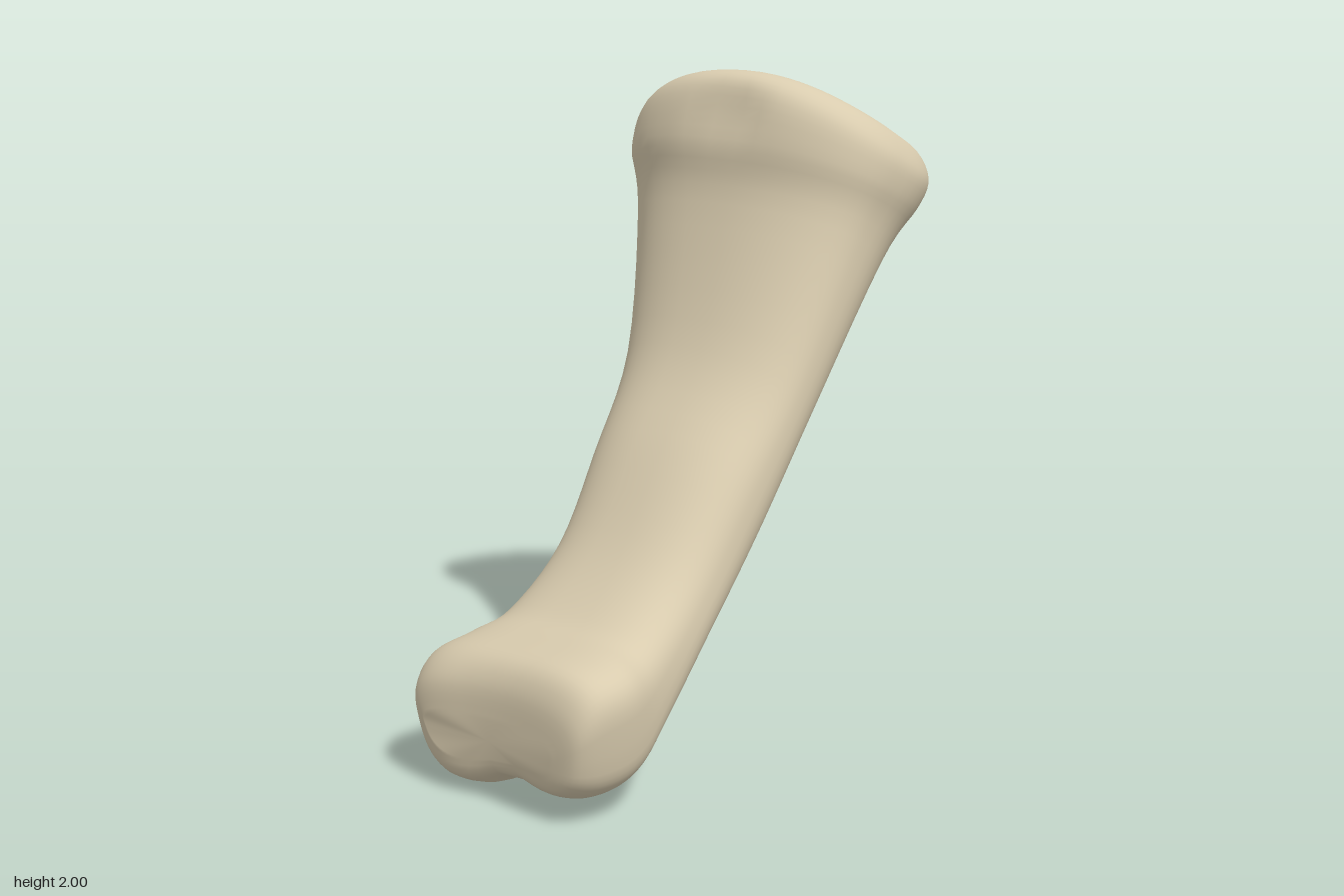
import * as THREE from 'three';

// Cross-sections from the knuckle end to the socket end:
// [front z, front y, back z, back y, min x, max x, front squareness]
const SECTIONS = [
  [0.885, 0.25, 0.875, 0.12, -0.1, 0.38, 2.5],
  [0.875, 0.35, 0.85, 0.055, -0.17, 0.47, 3],
  [0.82, 0.42, 0.74, 0.015, -0.2, 0.51, 3.6],
  [0.7, 0.45, 0.61, 0.04, -0.195, 0.515, 3.6],
  [0.58, 0.49, 0.44, 0.16, -0.18, 0.47, 3],
  [0.4, 0.64, 0.15, 0.405, -0.19, 0.415, 2.6],
  [0.2, 0.895, -0.08, 0.625, -0.255, 0.385, 2.5],
  [-0.02, 1.175, -0.3, 0.895, -0.34, 0.37, 2.4],
  [-0.175, 1.6, -0.68, 1.355, -0.49, 0.385, 2.5],
  [-0.19, 1.8, -0.85, 1.54, -0.54, 0.425, 2.7],
  [-0.23, 1.955, -0.905, 1.66, -0.525, 0.425, 2.7],
  [-0.31, 2, -0.875, 1.745, -0.45, 0.36, 2.5],
  [-0.41, 1.97, -0.8, 1.745, -0.3, 0.23, 2.3],
  [-0.5, 1.86, -0.68, 1.75, -0.16, 0.08, 2],
];
const SIDES = 56;
const STEPS = 5;
const { smoothstep } = THREE.MathUtils;
const bell = (value, width) => Math.exp(-((value / width) ** 2));

// Smooth interpolation between neighbouring cross-sections
function sectionAt(t) {
  const last = SECTIONS.length - 1;
  const i = Math.min(Math.floor(t), last - 1);
  const f = t - i;
  const before = SECTIONS[Math.max(i - 1, 0)];
  const next = SECTIONS[i + 1];
  const after = SECTIONS[Math.min(i + 2, last)];
  return SECTIONS[i].map((b, k) => {
    const m1 = (next[k] - before[k]) / 2;
    const m2 = (after[k] - b) / 2;
    const d = next[k] - b;
    return b + f * m1 + f * f * (3 * d - 2 * m1 - m2) + f * f * f * (m1 + m2 - 2 * d);
  });
}

// One rounded ring; the knuckles are parted by a groove, the socket rim is skewed
function ringPoint(t, angle) {
  const [fz, fy, bz, by, x0, x1, squareness] = sectionAt(t);
  const knuckle = 1 - smoothstep(t, 2.5, 5);
  const socket = smoothstep(t, 5, 9) * (1 - smoothstep(t, 10.5, 13));
  const c = Math.cos(angle);
  const n = Math.sin(angle);
  const front = n >= 0;
  const backSquareness = 2.1 + (c > 0 ? 1.7 : 0.8) * knuckle;
  const power = 2 / (front ? squareness : backSquareness);
  const u = Math.sign(c) * Math.abs(c) ** power;
  const x = (x0 + x1) / 2 + (u * (x1 - x0)) / 2;
  const dent = front ? 0.07 * bell(t - 9.5, 0.6) * bell(x, 0.09) : 0.32 * knuckle * bell(x - 0.2, 0.12);
  const skew = front ? 0.1 * knuckle - 0.2 * socket : 0.22 * knuckle;
  const reach = Math.abs(n) ** power * (1 - dent);
  const v = Math.sign(n) * reach + reach * u * skew;
  // Saddle-shaped socket, knuckles narrowing downward, the right knuckle further forward
  const saddle = 0.42 * smoothstep(t, 8, 10.5) * (x + 0.05) ** 2;
  const forward = (1 - smoothstep(t, 0.5, 3)) * (0.04 * bell(x + 0.08, 0.17) - 0.015);
  return [
    x + 0.03 * knuckle * u * v,
    (fy + by) / 2 + (v * (fy - by)) / 2 - saddle,
    (fz + bz) / 2 + (v * (fz - bz)) / 2 + forward,
  ];
}

function boneGeometry() {
  const positions = [];
  const index = [];
  const rings = (SECTIONS.length - 1) * STEPS + 1;
  for (let i = 0; i < rings; i++) {
    for (let j = 0; j < SIDES; j++) {
      positions.push(...ringPoint(i / STEPS, (j / SIDES) * Math.PI * 2));
    }
  }
  for (let i = 0; i < rings - 1; i++) {
    for (let j = 0; j < SIDES; j++) {
      const a = i * SIDES + j;
      const b = i * SIDES + ((j + 1) % SIDES);
      index.push(a, a + SIDES, b, b, a + SIDES, b + SIDES);
    }
  }
  // Close the knuckle tip and the hollow of the socket
  const tip = rings * SIDES;
  const end = (rings - 1) * SIDES;
  positions.push(0.14, 0.19, 0.875, -0.04, 1.79, -0.59);
  for (let j = 0; j < SIDES; j++) {
    const k = (j + 1) % SIDES;
    index.push(tip, j, k, tip + 1, end + k, end + j);
  }
  const geometry = new THREE.BufferGeometry();
  geometry.setAttribute('position', new THREE.Float32BufferAttribute(positions, 3));
  geometry.setIndex(index);
  geometry.computeVertexNormals();
  return geometry;
}

export function createModel() {
  const group = new THREE.Group();
  group.name = 'fingerBone';
  const ivory = new THREE.MeshStandardMaterial({ color: 0xd8cbae });
  ivory.name = 'ivory';
  const bone = new THREE.Mesh(boneGeometry(), ivory);
  bone.name = 'bone';
  group.add(bone);
  return group;
}
